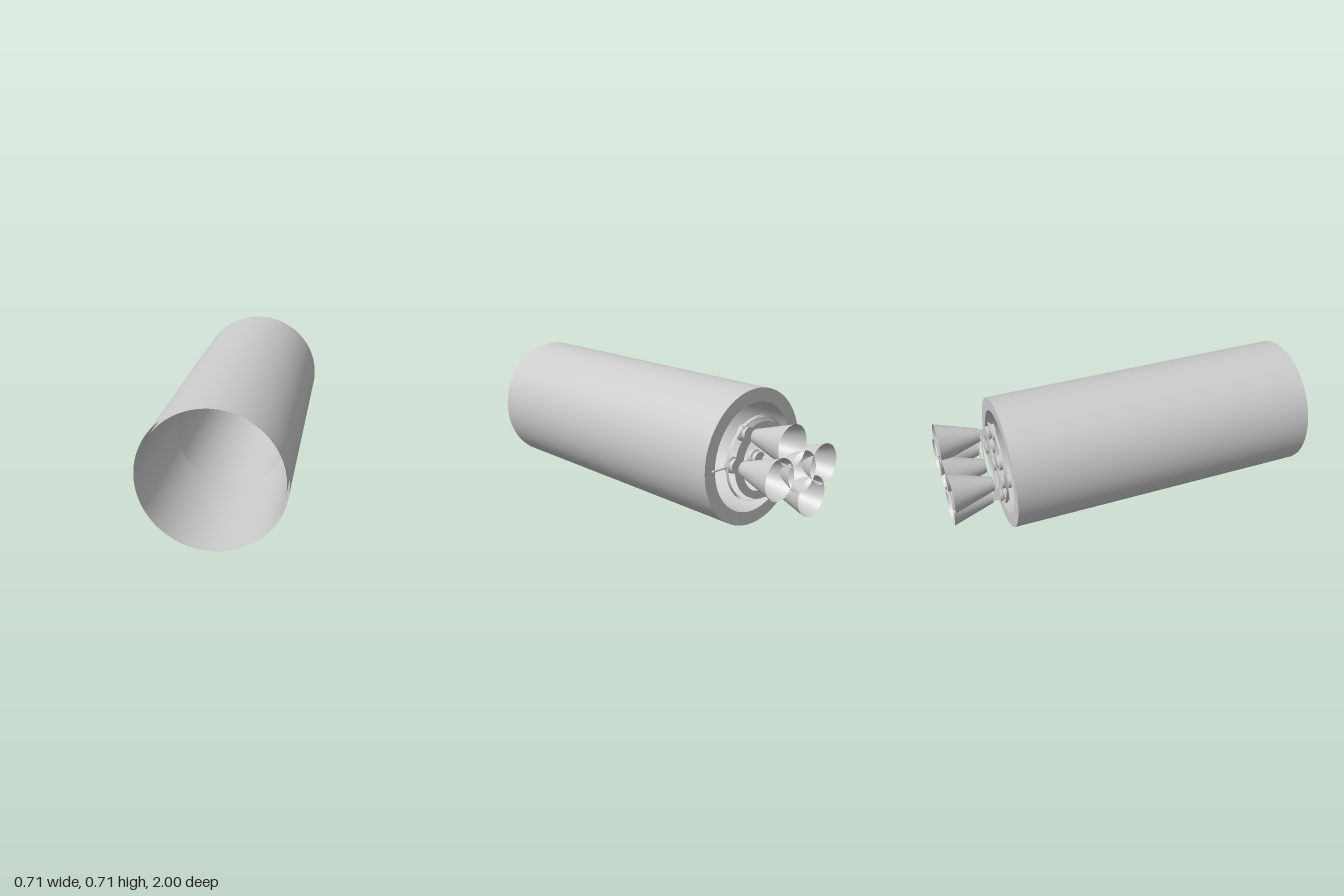
import * as THREE from 'three';
import { mergeGeometries } from 'three/addons/utils/BufferGeometryUtils.js';

const CENTRE_Y = 0.355;
const SEG = 96;

const solid = new THREE.MeshStandardMaterial({ color: 0xcccccc });
const thin = new THREE.MeshStandardMaterial({ color: 0xcccccc, side: THREE.DoubleSide });

// Revolve a [radius, z] profile around z; each span keeps its own normals for sharp creases
function turned(name, profile, material = solid, segments = SEG) {
  const bands = [];
  for (let i = 0; i < profile.length - 1; i++) {
    const pts = [profile[i], profile[i + 1]].map(([r, z]) => new THREE.Vector2(r, z));
    bands.push(new THREE.LatheGeometry(pts, segments));
  }
  const geometry = mergeGeometries(bands);
  geometry.rotateX(Math.PI / 2);
  const mesh = new THREE.Mesh(geometry, material);
  mesh.name = name;
  return mesh;
}

// Flat annulus across the z axis
function plate(name, inner, outer, z, material) {
  const mesh = new THREE.Mesh(new THREE.RingGeometry(inner, outer, SEG), material);
  mesh.name = name;
  mesh.position.z = z;
  return mesh;
}

// Straight pipe along a radius at the given angle
function radialPipe(name, angle, from, to, radius, z) {
  const geometry = new THREE.CylinderGeometry(radius, radius, to - from, 16);
  geometry.rotateZ(-Math.PI / 2);
  geometry.translate((from + to) / 2, 0, 0);
  const mesh = new THREE.Mesh(geometry, solid);
  mesh.name = name;
  mesh.rotation.z = angle;
  mesh.position.z = z;
  return mesh;
}

// Pump head and separate bell nozzle
function engine(x, y) {
  const group = new THREE.Group();
  group.name = 'engine';
  group.position.set(x, y, 0);
  group.add(
    turned('engineHead', [
      [0, -0.737], [0.037, -0.737], [0.037, -0.722], [0.031, -0.718],
      [0.031, -0.712], [0.042, -0.708], [0.042, -0.69], [0, -0.684],
    ], solid, 40),
    turned('nozzle', [[0.105, -1], [0.036, -0.777]], thin, 64),
  );
  return group;
}

export function createModel() {
  const model = new THREE.Group();
  model.name = 'boosterStage';
  const stage = new THREE.Group();
  stage.name = 'stage';
  stage.position.y = CENTRE_Y;
  model.add(stage);

  // Body shell with an inner lining and a narrower tube reaching the tail opening
  stage.add(
    turned('outerShell', [[0.355, -0.7], [0.355, 1]], thin),
    turned('innerLining', [[0.338, -0.7], [0.343, 1]], thin),
    turned('engineBayTube', [[0.285, -0.7], [0.29, 0.4]], thin),
  );

  // Tail face looks backwards only
  const tail = plate('tailPlate', 0.285, 0.355, -0.7, solid);
  tail.rotation.y = Math.PI;
  stage.add(tail);

  // Mounting rings around the engine cluster
  stage.add(
    turned('mountBandOuter', [[0.22, -0.722], [0.22, -0.711]], thin),
    turned('mountBandInner', [[0.213, -0.722], [0.213, -0.711]], thin),
    plate('thrustRingFront', 0.159, 0.197, -0.748, thin),
    plate('thrustRingBack', 0.159, 0.197, -0.766, thin),
  );

  // One central engine and four on the circle, each with a feed stub
  stage.add(engine(0, 0));
  for (const degrees of [0, 60, 180, 240]) {
    const a = THREE.MathUtils.degToRad(degrees);
    stage.add(engine(0.168 * Math.cos(a), 0.168 * Math.sin(a)));
    stage.add(radialPipe('feedStub', a, 0.2, 0.222, 0.006, -0.712));
  }

  // Feed line from the centre engine through the side engine to the wall
  stage.add(
    radialPipe('feedLine', 0, 0.03, 0.14, 0.006, -0.712),
    radialPipe('wallFeedLine', 0, 0.2, 0.31, 0.005, -0.712),
  );
  const elbow = new THREE.Mesh(new THREE.SphereGeometry(0.007, 16, 12), solid);
  elbow.name = 'feedElbow';
  elbow.position.set(0.31, 0, -0.712);
  stage.add(elbow);

  return model;
}
